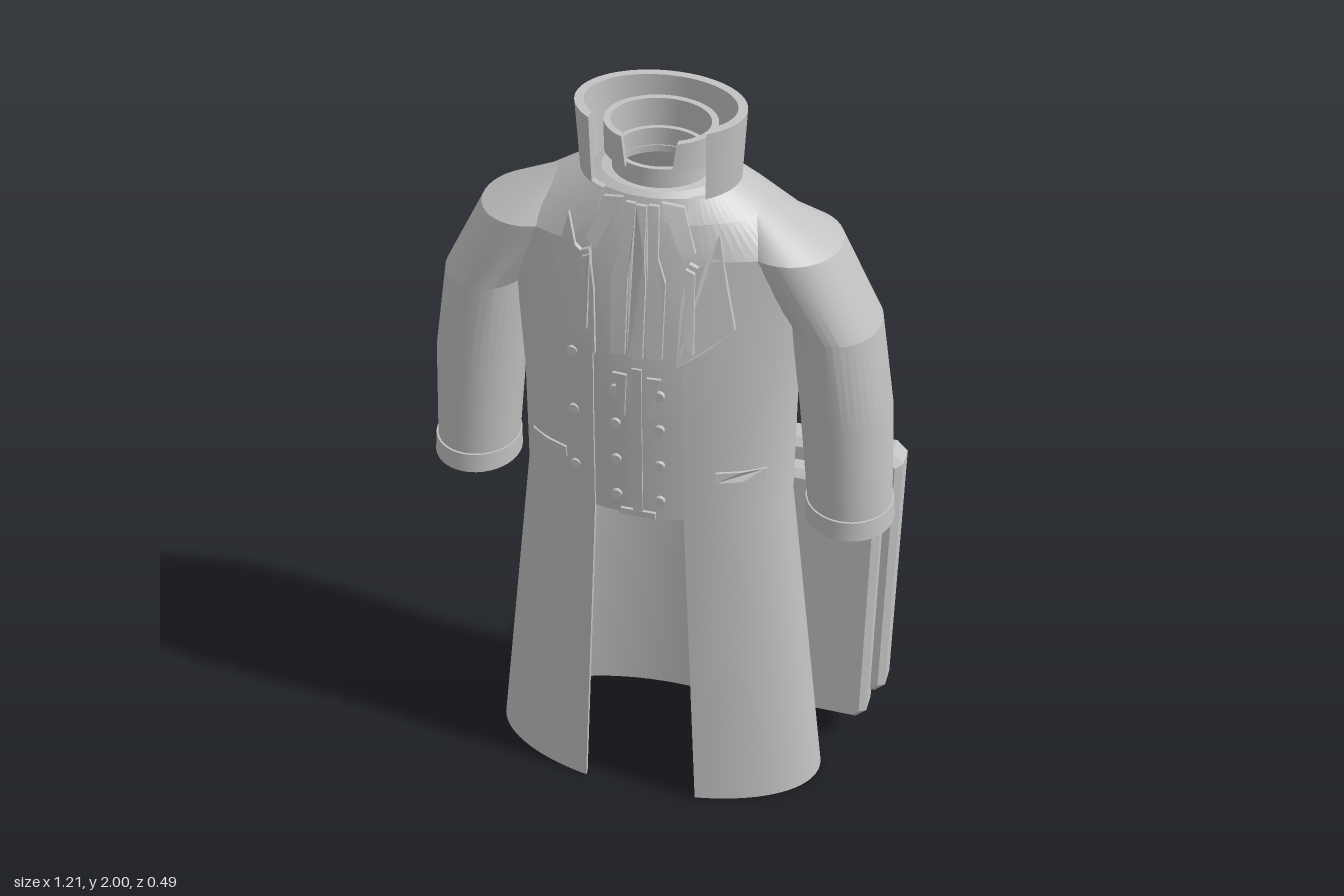
import * as THREE from 'three';
import { toCreasedNormals } from 'three/addons/utils/BufferGeometryUtils.js';

const cloth = new THREE.MeshStandardMaterial({ color: 0xc2c2c2, side: THREE.DoubleSide });
cloth.name = 'grey cloth';

// Coat cross-sections: [y, half width, half depth, centre z, half front gap, centre x]
const COAT = [
  [0, 0.455, 0.222, 0.025, 0.155],
  [0.95, 0.345, 0.198, 0.033, 0.115],
  [1.25, 0.345, 0.208, 0.028, 0.112],
  [1.5, 0.36, 0.21, 0.022, 0.11],
  [1.7, 0.4, 0.192, 0.008, 0.12],
  [1.78, 0.27, 0.17, 0.015, 0.11],
  [1.83, 0.19, 0.145, 0.023, 0.1],
];

function mesh(name, geometry, parent) {
  const m = new THREE.Mesh(geometry, cloth);
  m.name = name;
  parent.add(m);
  return m;
}

// Points on an elliptical section between two angles; angle 0 faces the front
function ring([y, rx, rz, cz, , cx = 0], a0, a1, n) {
  return Array.from({ length: n + 1 }, (_, i) => {
    const a = a0 + (a1 - a0) * i / n;
    return [cx + rx * Math.sin(a), y, cz + rz * Math.cos(a)];
  });
}

function loft(rows, capEnds = false) {
  const n = rows[0].length, index = [];
  for (let r = 0; r < rows.length - 1; r++) {
    for (let i = 0; i < n - 1; i++) {
      const a = r * n + i, b = a + n;
      index.push(a, a + 1, b + 1, a, b + 1, b);
    }
  }
  // Close the cloth thickness along the front edges
  if (capEnds) {
    const R = rows.length - 1;
    for (let r = 0; r < R / 2 - 1; r++) {
      for (const i of [0, n - 1]) {
        const a = r * n + i, b = a + n, c = (R - 1 - r) * n + i, d = c - n;
        if (i === 0) index.push(a, b, d, a, d, c);
        else index.push(a, d, b, a, c, d);
      }
    }
  }
  const g = new THREE.BufferGeometry();
  g.setAttribute('position', new THREE.Float32BufferAttribute(rows.flat(2), 3));
  g.setIndex(index);
  return toCreasedNormals(g, 0.2);
}

// Thick hollow wall through the sections, with an optional gap at the front
function shell(sections, t, n = 64) {
  const row = (s) => {
    const a = Math.asin(Math.min(1, (s[4] || 0) / s[1]));
    return ring(s, a, Math.PI * 2 - a, n);
  };
  const inner = sections.map((s) =>
    [s[0], Math.max(0.004, s[1] - t), Math.max(0.004, s[2] - t), s[3], s[4], s[5]]).reverse();
  const rows = [...sections, ...inner, sections[0]].map(row);
  return loft(rows, sections[0][4] > 0);
}

// Height of the coat's front surface at x, y
function frontZ(x, y) {
  let k = 0;
  while (k < COAT.length - 2 && y > COAT[k + 1][0]) k++;
  const A = COAT[k], B = COAT[k + 1], f = (y - A[0]) / (B[0] - A[0]);
  const [rx, rz, cz] = [1, 2, 3].map((j) => A[j] + (B[j] - A[j]) * f);
  return cz + rz * Math.sqrt(Math.max(0, 1 - (x / rx) ** 2));
}

// Thin cut-out laid over the front of the body
function plate(name, points, lift, depth, parent, side = 1) {
  const shape = new THREE.Shape(points.map(([x, y]) => new THREE.Vector2(x * side, y)));
  const g = new THREE.ExtrudeGeometry(shape, { depth, bevelEnabled: false });
  const p = g.attributes.position;
  for (let i = 0; i < p.count; i++) p.setZ(i, p.getZ(i) + lift + frontZ(p.getX(i), p.getY(i)));
  return mesh(name, toCreasedNormals(g, 0.3), parent);
}

function button(name, x, y, lift, parent) {
  const g = new THREE.CylinderGeometry(0.013, 0.013, 0.012, 12).rotateX(Math.PI / 2);
  mesh(name, g, parent).position.set(x, y, frontZ(x, y) + lift);
}

export function createModel() {
  const model = new THREE.Group();
  model.name = 'longCoat';

  // Coat body, open down the front and hollow from hem to neck
  mesh('coatBody', shell(COAT, 0.014, 80), model);

  // Waistcoat closing the front above the waist
  const vest = COAT.slice(1).map(([y, rx, rz, cz]) => {
    const s = [y, rx - 0.008, rz - 0.008, cz];
    const a = Math.asin(0.13 / s[1]);
    return ring(s, -a, a, 16);
  });
  mesh('waistcoat', loft(vest), model);
  plate('waistcoatPlacket', [[-0.012, 0.97], [0.012, 0.97], [0.012, 1.4], [-0.012, 1.4]], -0.006, 0.006, model);
  plate('waistcoatNotch', [[-0.045, 0.952], [0.045, 0.952], [0.045, 0.97], [-0.045, 0.97]], -0.006, 0.008, model);
  for (const y of [1.01, 1.12, 1.23, 1.33]) {
    for (const x of [-0.055, 0.055]) button('waistcoatButton', x, y, -0.004, model);
  }
  for (const y of [1.07, 1.24, 1.41]) button('coatButton', -0.165, y, 0.002, model);

  // Standing collar, open at the front
  mesh('outerCollar', shell([
    [1.82, 0.19, 0.148, 0.023, 0.135],
    [2.0, 0.2, 0.152, 0.025, 0.137],
  ], 0.022), model);

  // Neck ledge and shirt collar
  mesh('neckLedge', loft([
    [1.815, 0.185, 0.142, 0.023],
    [1.835, 0.14, 0.115, 0.023],
    [1.84, 0.1, 0.085, 0.025],
  ].map((s) => ring(s, 0, Math.PI * 2, 48))), model);
  mesh('neckBand', shell([
    [1.82, 0.115, 0.102, 0.025],
    [1.885, 0.112, 0.1, 0.025],
  ], 0.012, 48), model);
  mesh('shirtCollar', shell([
    [1.88, 0.133, 0.115, 0.022, 0.055],
    [1.955, 0.133, 0.115, 0.022, 0.065],
  ], 0.016, 48), model);

  // Pleated cravat with two loose tips
  for (const x of [-0.045, 0, 0.045]) {
    plate('cravatFold', [
      [x - 0.018, 1.44], [x + 0.018, 1.44], [x + 0.02, 1.64], [x * 0.7 + 0.014, 1.7],
      [x * 0.6 + 0.012, 1.82], [x * 0.6 - 0.012, 1.82], [x * 0.7 - 0.014, 1.7], [x - 0.02, 1.64],
    ], x ? -0.003 : 0.002, 0.01, model);
  }

  for (const side of [1, -1]) {
    const half = new THREE.Group();
    half.name = side > 0 ? 'leftSide' : 'rightSide';
    model.add(half);

    plate('cravatTip', [[0.03, 1.26], [0.06, 1.38], [0.025, 1.38]], -0.006, 0.008, half, side);

    // Lapel with a raised inner fold
    plate('lapel', [
      [0.1, 1.43], [0.165, 1.475], [0.228, 1.53], [0.205, 1.65], [0.18, 1.765],
      [0.155, 1.7], [0.14, 1.69], [0.12, 1.7], [0.105, 1.6],
    ], 0.004, 0.012, half, side);
    plate('lapelFold', [[0.118, 1.5], [0.14, 1.47], [0.135, 1.68], [0.115, 1.69]], 0.012, 0.012, half, side);
    plate('shirtWing', [[0.045, 1.83], [0.095, 1.82], [0.13, 1.72], [0.105, 1.7], [0.08, 1.75]],
      0, 0.01, half, side);

    // Pocket flap
    plate('pocketFlap', [
      [0.19, 1.08], [0.25, 1.075], [0.3, 1.07], [0.3, 1.1], [0.25, 1.105], [0.19, 1.11],
    ], 0.001, 0.007, half, side);

    // Sleeve running up into the shoulder
    mesh('sleeve', shell([
      [0.97, 0.106, 0.112, 0.025, 0, side * 0.49],
      [1.25, 0.113, 0.122, 0.025, 0, side * 0.468],
      [1.5, 0.108, 0.133, 0.025, 0, side * 0.432],
      [1.7, 0.125, 0.136, 0.025, 0, side * 0.312],
      [1.775, 0.05, 0.07, 0.025, 0, side * 0.235],
      [1.815, 0.012, 0.015, 0.025, 0, side * 0.19],
    ], 0.018, 40), half);
    mesh('cuff', shell([
      [0.92, 0.112, 0.12, 0.025, 0, side * 0.493],
      [0.975, 0.11, 0.118, 0.025, 0, side * 0.49],
    ], 0.035, 40), half);
  }

  // Two chamfered slabs hanging behind the left hip
  const c = 0.018;
  const slab = (name, x, y, z) => {
    const w = 0.17 - c, h = 0.4165 - c;
    const shape = new THREE.Shape([
      [-w + c, -h], [w - c, -h], [w, -h + c], [w, h - c],
      [w - c, h], [-w + c, h], [-w, h - c], [-w, -h + c],
    ].map((p) => new THREE.Vector2(...p)));
    const g = new THREE.ExtrudeGeometry(shape, {
      depth: 0.094 - 2 * c, bevelEnabled: true, bevelSize: c, bevelThickness: c, bevelSegments: 1,
    }).translate(0, 0, c - 0.047);
    mesh(name, toCreasedNormals(g, 0.3), model).position.set(x, y, z);
  };
  slab('innerSlab', 0.38, 0.497, -0.145);
  slab('outerSlab', 0.418, 0.555, -0.2);

  return model;
}
